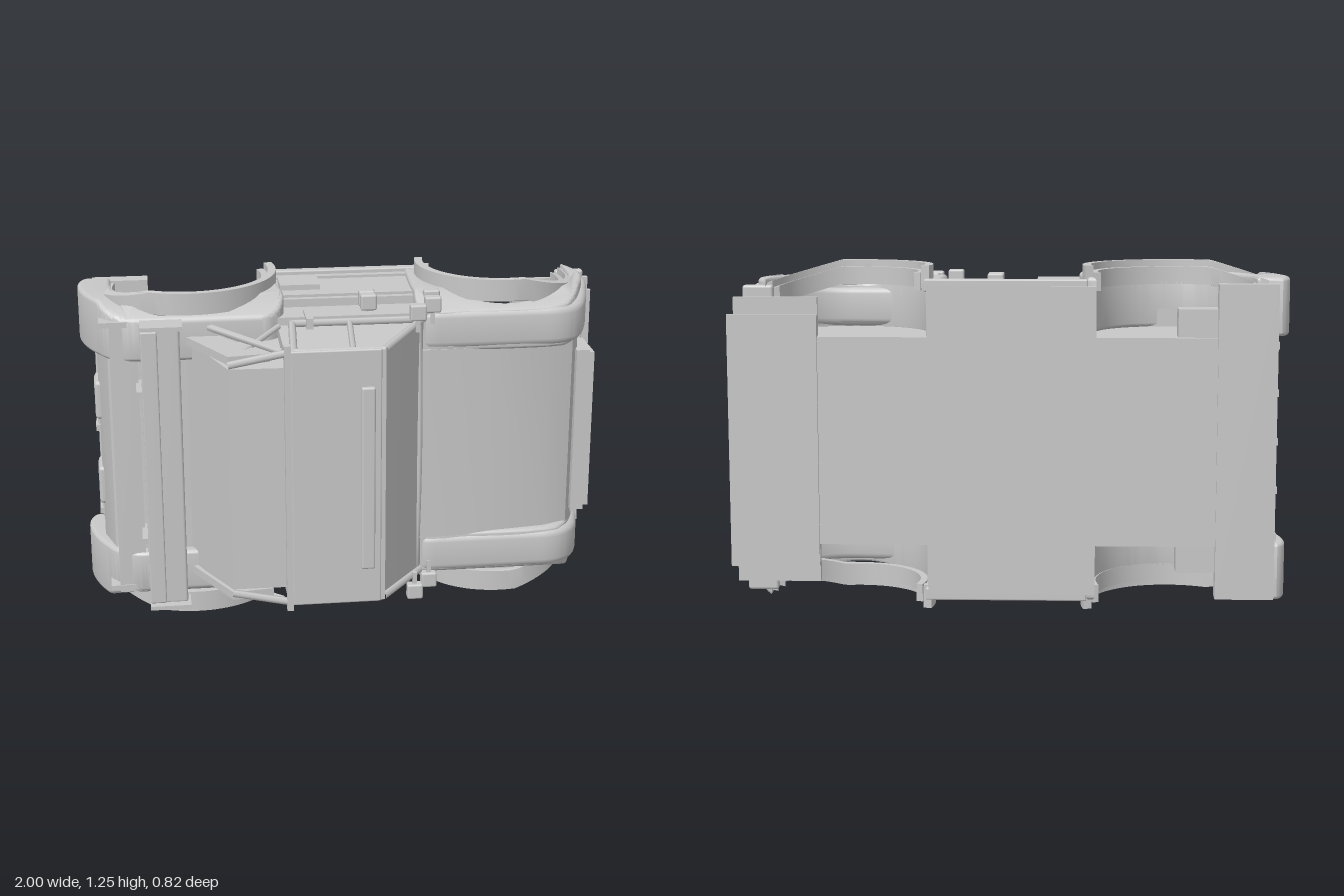
import * as THREE from 'three';
import { toCreasedNormals } from 'three/addons/utils/BufferGeometryUtils.js';
import { RoundedBoxGeometry } from 'three/addons/geometries/RoundedBoxGeometry.js';

// The truck lies on its side: nose to +x, roof to +z, width along y.
const MID = 0.625;

export function createModel() {
  const root = new THREE.Group();
  root.name = 'truckBody';
  const grey = new THREE.MeshStandardMaterial({ color: 0xc8c8c8 });
  grey.name = 'bodyGrey';

  const add = (name, geo) => {
    const m = new THREE.Mesh(geo, grey);
    m.name = name;
    root.add(m);
  };
  // Box from its ranges
  const box = (name, x0, x1, y0, y1, z0, z1, r = 0) => {
    const s = [x1 - x0, y1 - y0, z1 - z0];
    const g = r ? new RoundedBoxGeometry(...s, 2, r) : new THREE.BoxGeometry(...s);
    g.translate((x0 + x1) / 2, (y0 + y1) / 2, (z0 + z1) / 2);
    add(name, g);
  };
  // The same box on both flanks
  const boxPair = (name, x0, x1, y0, y1, z0, z1, r = 0) => {
    box(name + 'Left', x0, x1, y0, y1, z0, z1, r);
    box(name + 'Right', x0, x1, 2 * MID - y1, 2 * MID - y0, z0, z1, r);
  };
  // Side profile (x, z), as points or a shape, extruded across the width
  const profile = (outline, y0, y1, bevel = 0) => {
    const s = Array.isArray(outline) ? new THREE.Shape(outline.map(p => new THREE.Vector2(...p))) : outline;
    const g = new THREE.ExtrudeGeometry(s, {
      depth: y1 - y0 - 2 * bevel, curveSegments: 28, bevelEnabled: bevel > 0,
      bevelSize: bevel, bevelThickness: bevel, bevelOffset: -bevel, bevelSegments: 4,
    });
    g.rotateX(Math.PI / 2);
    g.translate(0, y1 - bevel, 0);
    return g;
  };
  // Mirrored profiles; the rule reshapes the distance from the centre line
  const profilePair = (name, shape, y0, y1, bevel = 0, rule = (x, w) => w) => {
    for (const side of [1, -1]) {
      const g = side > 0 ? profile(shape, y0, y1, bevel) : profile(shape, 2 * MID - y1, 2 * MID - y0, bevel);
      const p = g.attributes.position;
      for (let i = 0; i < p.count; i++) {
        p.setY(i, MID + side * rule(p.getX(i), Math.abs(p.getY(i) - MID), p.getZ(i)));
      }
      add(name + (side > 0 ? 'Left' : 'Right'), toCreasedNormals(g, 0.6));
    }
  };
  // Straight round bar between two points, mirrored across the width
  const barPair = (name, a, b, r = 0.011) => {
    for (const side of [1, -1]) {
      const f = p => new THREE.Vector3(p[0], side > 0 ? p[1] : 2 * MID - p[1], p[2]);
      add(name + (side > 0 ? 'Left' : 'Right'), new THREE.TubeGeometry(new THREE.LineCurve3(f(a), f(b)), 1, r, 6));
    }
  };

  // Central hull with hood and rear deck
  add('hull', toCreasedNormals(profile([
    [-0.92, -0.39], [-0.94, -0.12], [-0.9, 0.01], [-0.84, 0.04], [-0.5, 0.05], [0.24, 0.075],
    [0.5, 0.06], [0.74, 0.03], [0.84, -0.01], [0.87, -0.06], [0.88, -0.26], [0.86, -0.39],
  ], 0.25, 1.0), 0.6));
  box('floor', -0.31, 0.29, 0.07, 1.18, -0.4, -0.1);
  box('floorSpine', -0.8, 0.8, 0.25, 1.0, -0.4, -0.36);
  boxPair('cowlSide', -0.3, 0.29, 0.98, 1.14, -0.12, 0.06);

  // Fenders with the wheel arch cut out
  const rearShape = new THREE.Shape();
  rearShape.moveTo(-0.88, -0.32);
  rearShape.lineTo(-0.97, -0.33);
  rearShape.bezierCurveTo(-1.03, -0.3, -1.0, -0.12, -0.93, -0.01);
  rearShape.quadraticCurveTo(-0.89, 0.09, -0.78, 0.09);
  rearShape.lineTo(-0.34, 0.09);
  rearShape.quadraticCurveTo(-0.24, 0.08, -0.25, -0.08);
  rearShape.lineTo(-0.28, -0.36);
  rearShape.lineTo(-0.31, -0.36);
  rearShape.lineTo(-0.31, -0.25);
  rearShape.absarc(-0.595, -0.25, 0.285, 0, Math.PI, false);
  rearShape.closePath();
  profilePair('rearFender', rearShape, 1.0, 1.21, 0.014,
    (x, w, z) => w - Math.max(0, z + 0.02) * 0.5 * (w > 0.5 ? 1 : 0));
  const frontShape = new THREE.Shape();
  frontShape.moveTo(0.25, -0.36);
  frontShape.splineThru([[0.24, -0.1], [0.26, 0.05], [0.45, 0.064], [0.74, 0.06], [0.83, 0.01],
    [0.895, -0.14], [0.91, -0.24], [0.89, -0.32]].map(p => new THREE.Vector2(...p)));
  frontShape.lineTo(0.865, -0.36);
  frontShape.lineTo(0.865, -0.26);
  frontShape.absarc(0.58, -0.26, 0.285, 0, Math.PI, false);
  frontShape.lineTo(0.295, -0.36);
  frontShape.closePath();
  profilePair('frontFender', frontShape, 0.99, 1.2, 0.012,
    (x, w, z) => w - Math.max(0, z + 0.06) * 0.45 * (w > 0.47 ? 1 : 0));

  // Rounded crown that runs over each front fender and down the nose, splaying outward
  const crown = new THREE.Shape();
  crown.moveTo(0.25, -0.01);
  crown.lineTo(0.25, 0.04);
  crown.quadraticCurveTo(0.26, 0.07, 0.32, 0.072);
  crown.lineTo(0.72, 0.072);
  crown.bezierCurveTo(0.87, 0.075, 0.89, -0.03, 0.925, -0.17);
  crown.quadraticCurveTo(0.95, -0.27, 0.9, -0.28);
  crown.lineTo(0.862, -0.27);
  crown.bezierCurveTo(0.86, -0.12, 0.78, 0.0, 0.6, 0.0);
  crown.closePath();
  profilePair('fenderCrown', crown, 1.0, 1.145, 0.026, (x, w, z) => w + Math.max(0, 0.03 - z) * 0.13);

  // Stepped wheel arch flares, drawn in toward the bumpers
  const ring = (cx, cz, r0, r1, a0, a1) => {
    const s = new THREE.Shape();
    s.absarc(cx, cz, r1, a0, a1, false);
    s.absarc(cx, cz, r0, a1, a0, true);
    s.closePath();
    return s;
  };
  for (const [name, cx, cz, r, start] of [['rearFlare', -0.595, -0.245, 0.335, 0.74], ['frontFlare', 0.58, -0.26, 0.305, 0.64]]) {
    const pullIn = (x, w) => w - 0.28 * Math.max(0, Math.abs(x) - start);
    profilePair(name + 'Outer', ring(cx, cz, r - 0.03, r, -0.25, Math.PI + 0.25), 1.17, 1.25, 0, pullIn);
    profilePair(name + 'Inner', ring(cx, cz, r - 0.055, r - 0.03, -0.28, Math.PI + 0.28), 1.16, 1.225, 0, pullIn);
  }

  // Cabin: wide front half, narrower rear half
  const taper = (g) => {
    const p = g.attributes.position;
    for (let i = 0; i < p.count; i++) {
      const t = Math.max(0, p.getZ(i)) * 0.07;
      p.setY(i, p.getY(i) + (p.getY(i) > MID ? -t : t));
    }
    return toCreasedNormals(g, 0.4);
  };
  add('cabin', taper(profile([[-0.28, -0.1], [0.33, -0.1], [0.25, 0.075], [0.06, 0.365], [-0.28, 0.375]], 0.13, 1.12)));
  add('rearCabin', taper(profile([[-0.62, 0.03], [-0.27, 0.03], [-0.27, 0.36], [-0.48, 0.355]], 0.18, 1.07)));
  box('roofPanel', -0.265, 0.06, 0.14, 1.11, 0.37, 0.385, 0.006);
  box('roofRearLip', -0.285, -0.262, 0.12, 1.13, 0.355, 0.385);
  box('roofLightBar', -0.015, 0.035, 0.28, 0.975, 0.385, 0.407, 0.008);
  box('visor', 0.045, 0.075, 0.145, 1.105, 0.355, 0.38);

  // Curved cowl at the foot of the windshield
  const cowl = new THREE.QuadraticBezierCurve3(
    new THREE.Vector3(0.235, 0.12, 0.08), new THREE.Vector3(0.25, MID, 0.1), new THREE.Vector3(0.235, 1.13, 0.08));
  add('cowlTrim', new THREE.TubeGeometry(cowl, 20, 0.012, 8));

  // Window frames, pillars and rear buttresses
  const path = [[0.07, 1.1, 0.365], [0.25, 1.125, 0.085], [-0.23, 1.125, 0.085], [-0.25, 1.1, 0.36], [0.07, 1.1, 0.365]];
  for (let i = 0; i < 4; i++) barPair('windowFrame', path[i], path[i + 1], 0.014);
  barPair('windowPillar', [-0.02, 1.125, 0.09], [-0.04, 1.1, 0.36]);
  barPair('buttressBar', [-0.53, 1.12, 0.08], [-0.29, 1.1, 0.35], 0.014);
  barPair('buttressTopBar', [-0.48, 1.06, 0.355], [-0.28, 1.1, 0.365], 0.014);
  barPair('buttressBrace', [-0.43, 1.08, 0.28], [-0.28, 1.12, 0.1]);
  profilePair('buttressPanel', [[-0.62, 0.08], [-0.5, 0.08], [-0.33, 0.33], [-0.48, 0.35]], 1.06, 1.09);

  // Door sides, belt rails and sills
  boxPair('beltRail', -0.27, 0.3, 1.14, 1.17, -0.1, -0.075);
  boxPair('sill', -0.28, 0.3, 1.16, 1.205, -0.395, -0.355, 0.006);
  boxPair('sillUpper', -0.3, 0.31, 1.16, 1.19, -0.35, -0.32);
  boxPair('sideVent', -0.25, -0.1, 1.15, 1.2, -0.29, -0.165);
  boxPair('doorHandle', -0.18, -0.155, 1.11, 1.15, 0.0, 0.12);

  // Flank lamps and mirrors
  for (const [x, z] of [[0.06, -0.05], [0.06, 0.005], [0.3, -0.03], [0.29, 0.065], [0.22, 0.165]]) {
    boxPair('flankLamp', x - 0.03, x + 0.03, 1.145, 1.205, z - 0.02, z + 0.022, 0.008);
    boxPair('lampStem', x - 0.008, x + 0.008, 1.1, 1.15, z - 0.008, z + 0.008);
  }

  // Grille frame in front of the nose
  for (const d of [0, 0.022]) {
    const x0 = 0.86 + d, x1 = 0.91 + d, i = d * 0.6;
    boxPair('grilleEnd', x0, x1, 0.92, 0.95 - i, -0.235 + i, -0.015 - i);
    box('grilleTop', x0, x1, 0.3 + i, 0.95 - i, -0.045, -0.015 - i);
    box('grilleBottom', x0, x1, 0.3 + i, 0.95 - i, -0.235 + i, -0.205);
  }
  const lip = new THREE.QuadraticBezierCurve3(
    new THREE.Vector3(0.875, 0.27, -0.22), new THREE.Vector3(0.895, MID, -0.31), new THREE.Vector3(0.875, 0.98, -0.22));
  add('noseLip', new THREE.TubeGeometry(lip, 16, 0.012, 8));

  // Front bumper stack above a narrow skid plate
  box('frontSkid', 0.68, 1.0, 0.17, 1.08, -0.412, -0.39);
  box('bumperStep', 0.68, 0.98, 0.11, 1.14, -0.385, -0.365);
  box('frontBumper', 0.84, 0.95, 0.07, 1.18, -0.36, -0.325, 0.01);
  boxPair('towBlock', 0.88, 0.95, 0.86, 0.96, -0.35, -0.3, 0.008);
  boxPair('fogLamp', 0.88, 0.945, 0.95, 1.03, -0.33, -0.27, 0.008);
  boxPair('frontWellBlock', 0.73, 0.82, 1.0, 1.07, -0.3, -0.17);

  // Rear bumper, lamps and well blocks
  box('rearSkid', -0.95, -0.74, 0.06, 1.19, -0.41, -0.345);
  box('rearBumper', -0.95, -0.88, 0.25, 1.0, -0.345, -0.29, 0.01);
  boxPair('rearWellBlock', -0.85, -0.6, 0.98, 1.1, -0.38, -0.28);
  boxPair('tailLamp', -0.955, -0.9, 0.72, 0.87, -0.24, -0.1, 0.015);
  for (const y of [0.28, 0.45, 0.625, 0.8, 0.97]) box('bumperRib', -0.96, -0.9, y - 0.012, y + 0.012, -0.36, -0.28);

  // Rear wing and lower deck bar
  box('wing', -0.76, -0.64, 0.09, 1.16, 0.17, 0.2, 0.01);
  box('wingFlap', -0.78, -0.72, 0.1, 1.15, 0.2, 0.22, 0.006);
  boxPair('wingEndPlate', -0.78, -0.63, 1.155, 1.17, 0.135, 0.235);
  box('deckBar', -0.89, -0.79, 0.09, 1.14, 0.05, 0.08);
  boxPair('deckBarEnd', -0.925, -0.79, 1.13, 1.15, 0.0, 0.085);
  boxPair('wingMount', -0.8, -0.74, 0.9, 0.92, 0.04, 0.19);

  return root;
}
